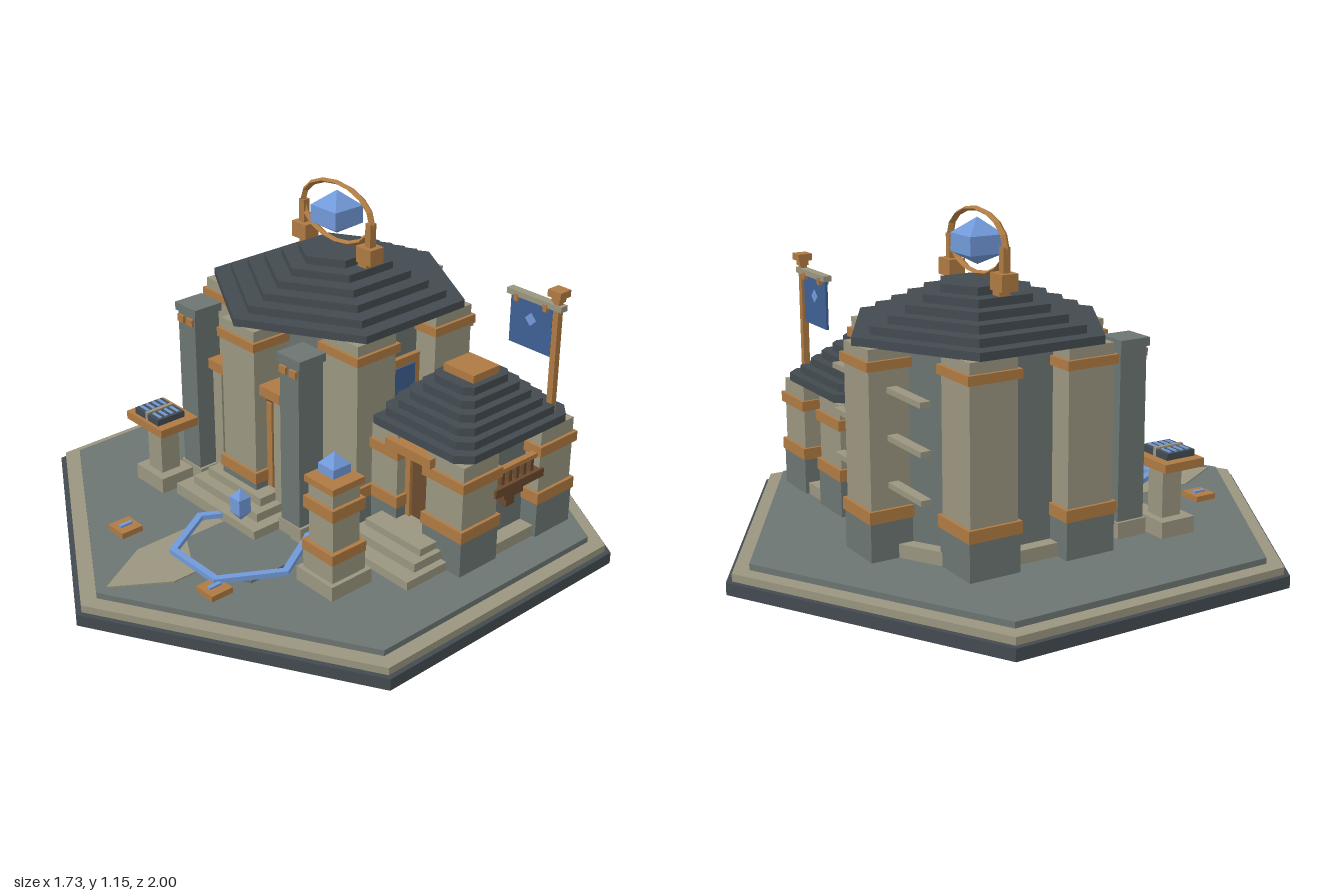
import * as THREE from 'three';

const mat = (name, color) => Object.assign(new THREE.MeshStandardMaterial({ color, flatShading: true }), { name });
const slate = mat('dark slate', 0x434b50);
const wall = mat('grey wall', 0x6c7572);
const stone = mat('pale stone', 0x99957f);
const gold = mat('bronze', 0xae7a42);
const brown = mat('dark wood', 0x6b4a2e);
const blue = mat('crystal blue', 0x7199d8);
const cloth = mat('banner blue', 0x3d6092);

export function createModel() {
  const root = new THREE.Group();

  const group = (name, x = 0, z = 0, parent = root) => {
    const g = new THREE.Group();
    g.name = name;
    g.position.set(x, 0, z);
    parent.add(g);
    return g;
  };
  const add = (parent, name, geo, m, x = 0, y = 0, z = 0) => {
    const mesh = new THREE.Mesh(geo, m);
    mesh.name = name;
    mesh.position.set(x, y, z);
    parent.add(mesh);
    return mesh;
  };
  // box given by its centre in x and z, and its bottom and top heights
  const box = (p, name, m, x, z, w, d, y0, y1) =>
    add(p, name, new THREE.BoxGeometry(w, y1 - y0, d), m, x, (y0 + y1) / 2, z);
  const hex = (p, name, m, r, y0, y1, x = 0, z = 0) =>
    add(p, name, new THREE.CylinderGeometry(r, r, y1 - y0, 6), m, x, (y0 + y1) / 2, z);
  // flat outline in x and z, raised from y0 to y1
  const plate = (p, name, m, pts, y0, y1) => {
    const shape = new THREE.Shape(pts.map(([x, z]) => new THREE.Vector2(x, -z)));
    const geo = new THREE.ExtrudeGeometry(shape, { depth: y1 - y0, bevelEnabled: false });
    geo.rotateX(-Math.PI / 2);
    return add(p, name, geo, m, 0, y0, 0);
  };
  // four-sided gem: bottom tip, two shoulders, top tip
  const gem = (p, name, x, z, half, [y0, y1, y2, y3]) => {
    const r = half * Math.SQRT2;
    const pts = [[0, y0], [r, y1], [r, y2], [0, y3]].map(([a, b]) => new THREE.Vector2(a, b));
    const geo = new THREE.LatheGeometry(pts, 4, Math.PI / 4).toNonIndexed();
    geo.computeVertexNormals();
    return add(p, name, geo, blue, x, 0, z);
  };
  // stone pillar with grey foot and two bronze bands
  const pillar = (p, x, z, w, top, bandY, bandTop) => {
    const g = group('pillar', x, z, p);
    box(g, 'pillarShaft', stone, 0, 0, w, w, 0.2, top);
    box(g, 'pillarFoot', wall, 0, 0, w + 0.012, w + 0.012, 0.085, 0.21);
    box(g, 'lowerBand', gold, 0, 0, w + 0.022, w + 0.022, 0.21, 0.25);
    box(g, 'upperBand', gold, 0, 0, w + 0.022, w + 0.022, bandY, bandTop);
  };

  // hexagonal ground
  const base = group('base');
  hex(base, 'baseSlab', slate, 1, 0, 0.04);
  hex(base, 'baseRim', stone, 0.98, 0.04, 0.065);
  hex(base, 'courtyardFloor', wall, 0.922, 0.065, 0.085);
  plate(base, 'arrowPath', stone, [[-0.11, 0.36], [-0.11, 0.69], [0, 0.885], [0.115, 0.71], [0.115, 0.36]], 0.084, 0.09);

  // main tower
  const tower = group('tower', -0.108, -0.167);
  hex(tower, 'towerPlinth', stone, 0.39, 0.085, 0.13);
  hex(tower, 'towerWall', wall, 0.34, 0.13, 0.737);
  for (let i = 0; i < 6; i++) {
    const a = (i * Math.PI) / 3;
    pillar(tower, 0.346 * Math.sin(a), 0.346 * Math.cos(a), 0.165, 0.756, 0.69, 0.72);
  }
  for (let i = 0; i < 6; i++)
    hex(tower, 'roofStep', slate, 0.442 - 0.0616 * i, 0.755 + 0.0265 * i, 0.755 + 0.0265 * (i + 1));
  for (const y of [0.325, 0.475, 0.625])
    box(tower, 'rearLedge', stone, 0.002, -0.351, 0.585, 0.035, y - 0.009, y + 0.009);

  // tower door behind the front pillar, and its steps
  const door = group('towerDoor', 0, 0.35, tower);
  box(door, 'doorPanel', brown, 0, 0, 0.28, 0.06, 0.18, 0.53);
  box(door, 'doorLintel', gold, 0, 0.01, 0.37, 0.1, 0.53, 0.565);
  for (const s of [-1, 1]) {
    box(door, 'doorJamb', stone, s * 0.158, 0, 0.045, 0.09, 0.13, 0.53);
    box(door, 'doorTrim', gold, s * 0.102, 0.032, 0.025, 0.008, 0.19, 0.5);
  }
  box(tower, 'lowerStep', stone, 0, 0.44, 0.42, 0.21, 0.085, 0.125);
  box(tower, 'middleStep', stone, 0, 0.41, 0.34, 0.18, 0.125, 0.155);
  box(tower, 'upperStep', stone, 0, 0.385, 0.28, 0.15, 0.155, 0.185);
  for (const s of [-1, 1]) {
    const post = group('gatePost', s * 0.263, 0.385, tower);
    box(post, 'postFoot', stone, 0, 0, 0.11, 0.11, 0.085, 0.14);
    box(post, 'postShaft', wall, 0, 0, 0.09, 0.1, 0.14, 0.71);
    box(post, 'postCap', wall, 0, 0, 0.11, 0.11, 0.71, 0.738);
    for (const k of [-1, 1]) box(post, 'postStud', gold, k * 0.024, 0.051, 0.032, 0.016, 0.675, 0.7);
  }

  // window on the tower's left wall
  const win = group('towerWindow', 0.298, 0, tower);
  box(win, 'windowFrame', gold, 0, 0, 0.03, 0.18, 0.36, 0.61);
  box(win, 'windowPane', cloth, 0.016, 0, 0.008, 0.13, 0.39, 0.58);

  // ring and crystal on the roof
  const ring = add(tower, 'crownRing', new THREE.TorusGeometry(0.168, 0.013, 4, 16), gold, 0, 1.037, 0);
  ring.scale.y = 0.6;
  for (const s of [-1, 1]) {
    box(tower, 'ringSocket', gold, s * 0.16, 0, 0.07, 0.058, 0.905, 0.96);
    box(tower, 'ringSocketFoot', gold, s * 0.145, 0, 0.04, 0.04, 0.87, 0.905);
    box(tower, 'ringArm', gold, s * 0.163, 0, 0.024, 0.026, 0.96, 1.04);
  }
  gem(tower, 'crownCrystal', 0, 0, 0.061, [0.963, 1.0, 1.06, 1.112]);

  // side house
  const house = group('sideHouse', 0.457, -0.235);
  box(house, 'housePlinth', stone, 0, 0, 0.43, 0.5, 0.085, 0.125);
  box(house, 'houseWall', wall, 0, 0, 0.32, 0.38, 0.125, 0.47);
  for (const sx of [-1, 1])
    for (const sz of [-1, 1]) pillar(house, sx * 0.143, sz * 0.178, 0.156, 0.47, 0.385, 0.42);
  for (let i = 0; i < 6; i++) {
    const x = 0.222 - 0.027 * i, z = 0.257 - 0.031 * i, c = 0.045 - 0.004 * i;
    plate(house, 'houseRoofStep', slate, [[x, z - c], [x - c, z], [c - x, z], [-x, z - c],
      [-x, c - z], [c - x, -z], [x - c, -z], [x, c - z]], 0.47 + 0.0275 * i, 0.47 + 0.0275 * (i + 1));
  }
  box(house, 'roofCap', gold, 0, 0, 0.13, 0.12, 0.635, 0.662);

  // house door and steps
  box(house, 'houseDoorPanel', brown, 0, 0.195, 0.14, 0.03, 0.17, 0.41);
  box(house, 'houseDoorLintel', gold, 0, 0.235, 0.2, 0.09, 0.425, 0.458);
  for (const s of [-1, 1]) box(house, 'houseDoorTrim', gold, s * 0.052, 0.212, 0.022, 0.02, 0.17, 0.425);
  box(house, 'houseStep', stone, 0, 0.315, 0.34, 0.24, 0.085, 0.115);
  box(house, 'houseStep', stone, 0, 0.295, 0.29, 0.17, 0.115, 0.145);
  box(house, 'houseStep', stone, 0, 0.27, 0.25, 0.13, 0.145, 0.17);

  // small balcony on the outer wall
  const balcony = group('balcony', 0.19, 0, house);
  box(balcony, 'balconyFloor', brown, 0, 0, 0.08, 0.225, 0.31, 0.34);
  box(balcony, 'balconyBracket', brown, -0.01, 0, 0.05, 0.09, 0.27, 0.31);
  box(balcony, 'balconyBracket', brown, -0.015, 0, 0.035, 0.04, 0.23, 0.27);
  for (let i = -2; i <= 2; i++) box(balcony, 'baluster', brown, 0.02, i * 0.034, 0.014, 0.014, 0.34, 0.385);
  box(balcony, 'balconyRail', gold, 0.02, 0, 0.022, 0.17, 0.385, 0.4);

  // banner on a pole
  const flag = group('banner', 0.628, -0.432);
  box(flag, 'pole', gold, 0, 0, 0.022, 0.022, 0.42, 0.89);
  box(flag, 'poleCollar', gold, 0, 0, 0.032, 0.032, 0.875, 0.893);
  box(flag, 'poleCap', gold, 0, 0, 0.052, 0.05, 0.893, 0.916);
  box(flag, 'crossbar', stone, -0.088, 0, 0.225, 0.03, 0.847, 0.866);
  box(flag, 'bannerCloth', cloth, -0.103, 0, 0.172, 0.009, 0.68, 0.848);
  for (const x of [-0.16, -0.04]) box(flag, 'bannerTie', gold, x, 0, 0.016, 0.036, 0.832, 0.856);
  const mark = add(flag, 'bannerDiamond', new THREE.BoxGeometry(0.032, 0.032, 0.014), blue, -0.103, 0.782, 0);
  mark.rotation.z = Math.PI / 4;

  // crystal pedestal
  const pedestal = group('crystalPedestal', 0.435, 0.33);
  for (const [m, w, y0, y1] of [[stone, 0.165, 0.085, 0.135], [stone, 0.135, 0.135, 0.2], [gold, 0.14, 0.2, 0.235],
    [stone, 0.11, 0.235, 0.35], [gold, 0.135, 0.35, 0.39], [stone, 0.11, 0.39, 0.44], [gold, 0.13, 0.44, 0.462]])
    box(pedestal, 'pedestalTier', m, 0, 0, w, w, y0, y1);
  gem(pedestal, 'pedestalCrystal', 0, 0, 0.035, [0.455, 0.475, 0.505, 0.545]);

  // reading stand with an open book
  const stand = group('readingStand', -0.423, 0.35);
  box(stand, 'standFoot', stone, 0, 0, 0.15, 0.13, 0.085, 0.14);
  box(stand, 'standColumn', stone, 0, 0, 0.075, 0.075, 0.14, 0.315);
  box(stand, 'standTop', gold, 0, 0, 0.2, 0.155, 0.313, 0.342);
  box(stand, 'bookSpine', stone, 0, 0.01, 0.014, 0.11, 0.342, 0.37);
  for (const s of [-1, 1]) {
    const page = group('page', s * 0.036, 0.01, stand);
    box(page, 'pageSlab', slate, 0, 0, 0.06, 0.11, 0.342, 0.364);
    for (let i = 0; i < 4; i++) box(page, 'pageLine', blue, 0, -0.036 + i * 0.024, 0.044, 0.009, 0.363, 0.368);
  }

  // floor ring with its floating crystal
  const circle = group('crystalCircle', 0.11, 0.437);
  hex(circle, 'circleFloor', wall, 0.192, 0.085, 0.094);
  for (let i = 0; i < 6; i++) {
    const a = (i * Math.PI) / 3 + Math.PI / 6;
    const bar = box(circle, 'circleBar', blue, 0.19 * Math.sin(a - Math.PI / 6), 0.19 * Math.cos(a - Math.PI / 6), 0.231, 0.022, 0.103, 0.12);
    bar.rotation.y = a - Math.PI / 6;
  }
  gem(circle, 'floatingCrystal', 0, 0, 0.023, [0.2, 0.23, 0.285, 0.317]);

  // small floor lamps
  for (const s of [-1, 1]) {
    const lamp = group('floorLamp', s * 0.238, 0.647);
    box(lamp, 'lampTile', gold, 0, 0, 0.08, 0.08, 0.085, 0.105);
    box(lamp, 'lampGlow', blue, 0, 0, 0.014, 0.045, 0.104, 0.112);
  }
  return root;
}
